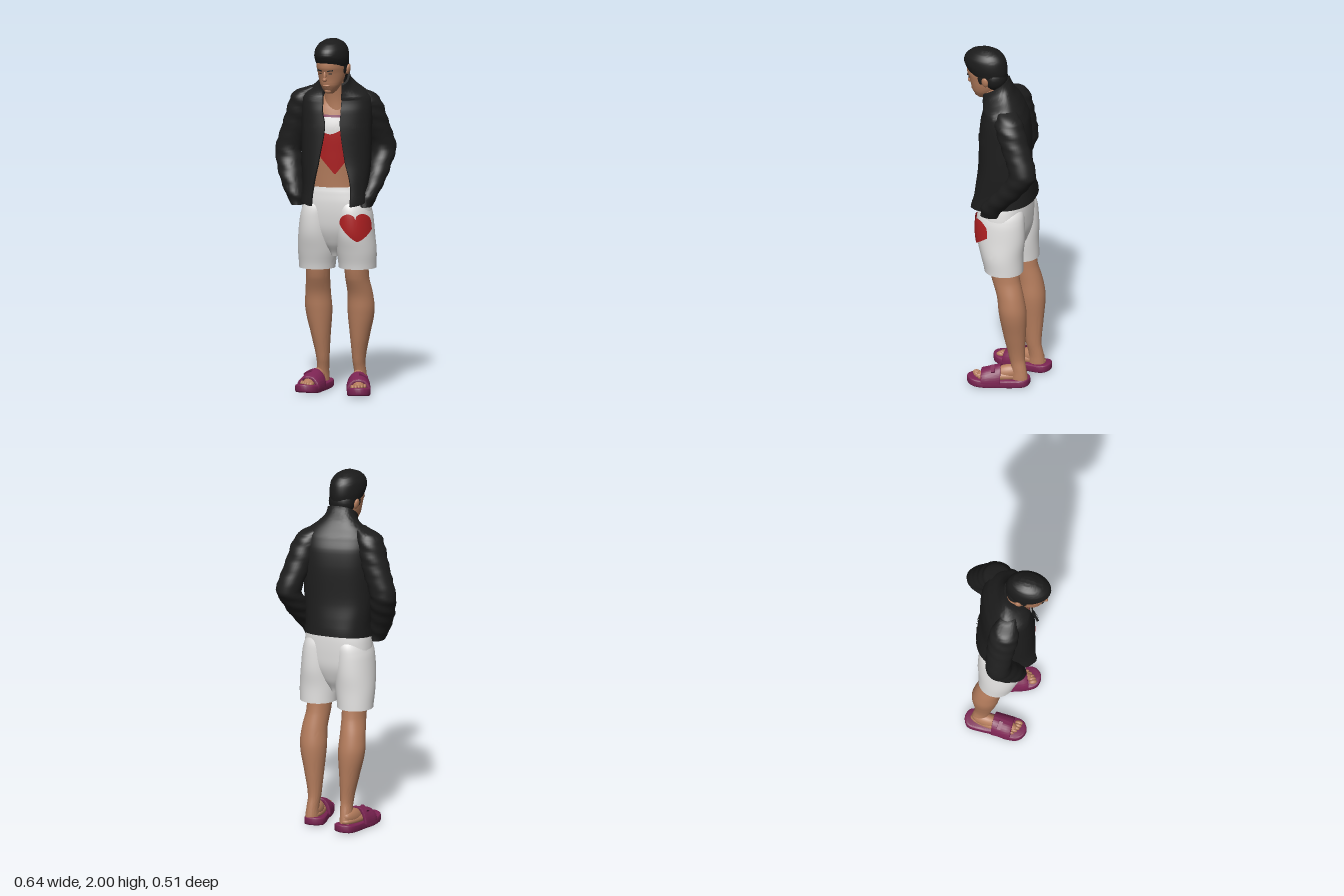
import * as THREE from 'three';
import { toCreasedNormals } from 'three/addons/utils/BufferGeometryUtils.js';

const mat = (name, color) => Object.assign(new THREE.MeshStandardMaterial({ color }), { name });

// Cross-section row: [y, x, z, halfWidth, halfDepth, turn, forwardDrop, gapLeft, gapRight, roundness], bottom to top.
function blend(rows, i, f) {
  const row = k => rows[Math.min(Math.max(k, 0), rows.length - 1)];
  const [a, b, c, d] = [row(i - 1), row(i), row(i + 1), row(i + 2)];
  return b.map((p, k) => {
    if (k === 0) return p + (c[0] - p) * f;
    const v = p + 0.5 * f * (c[k] - a[k] + f * (2 * a[k] - 5 * p + 4 * c[k] - d[k] + f * (3 * (p - c[k]) + d[k] - a[k])));
    return k === 3 || k === 4 ? Math.max(v, 0.004) : v;
  });
}

// Fill rows up to the roundness column; below 1 the section becomes boxier.
const boxy = (rows, round) => rows.map(r => [...r, ...Array(9 - r.length).fill(0), round]);

function atHeight(rows, y) {
  let i = 0;
  while (i < rows.length - 2 && y > rows[i + 1][0]) i++;
  return blend(rows, i, (y - rows[i][0]) / (rows[i + 1][0] - rows[i][0]));
}

// Point on a section; angle 0 is the front and grows towards +x.
function pointOn([y, x, z, rx, rz, turn = 0, drop = 0, , , round = 1], a, off = 0) {
  const bend = v => Math.sign(v) * Math.abs(v) ** round;
  const u = (rx + off) * bend(Math.sin(a)), w = (rz + off) * bend(Math.cos(a));
  const c = Math.cos(turn), s = Math.sin(turn);
  return [x + u * c + w * s, y - drop * w, z - u * s + w * c];
}

function build(pos, idx) {
  const g = new THREE.BufferGeometry();
  g.setAttribute('position', new THREE.Float32BufferAttribute(pos, 3));
  g.setIndex(idx);
  return toCreasedNormals(g, 0.9);
}

// Skin over stacked sections; "open" makes a thick shell with a gap in front.
function loft(rows, { open = false, folds = 0, n = 40 } = {}) {
  const rings = [];
  for (let i = 0; i < rows.length - 1; i++)
    for (let k = 0; k < 5; k++) rings.push(blend(rows, i, k / 5));
  rings.push(rows[rows.length - 1]);
  const pos = [], idx = [], m = open ? 2 * n : n;
  for (const r of rings)
    for (let j = 0; j < m; j++) {
      if (open) {
        const k = j < n ? j : 2 * n - 1 - j;
        const a = r[7] + (2 * Math.PI - r[8] - r[7]) * k / (n - 1);
        pos.push(...pointOn(r, a, j < n ? 0 : -0.012));
      } else {
        const a = 2 * Math.PI * j / n;
        pos.push(...pointOn(r, a, folds * Math.sin(r[0] * 85 + 2 * a)));
      }
    }
  for (let i = 0; i < rings.length - 1; i++)
    for (let j = 0; j < m; j++) {
      const a = i * m + j, b = i * m + (j + 1) % m;
      idx.push(a, b, b + m, a, b + m, a + m);
    }
  const top = (rings.length - 1) * m;
  if (open) {
    for (let j = 0; j < n - 1; j++) {
      const p = j, q = j + 1, s = 2 * n - 1 - j, t = s - 1;
      idx.push(p, t, q, p, s, t, top + p, top + q, top + t, top + p, top + t, top + s);
    }
  } else {
    const lo = pos.length / 3, hi = lo + 1;
    for (const r of [rings[0], rings[rings.length - 1]]) pos.push(r[1], r[0], r[2]);
    for (let j = 0; j < m; j++) {
      const k = (j + 1) % m;
      idx.push(lo, k, j, hi, top + j, top + k);
    }
  }
  return build(pos, idx);
}

// Thin panel lying on a lofted surface; u runs -1..1 across it.
function panel(rows, a0, a1, bottom, top, off = 0.006, n = 40, m = 10) {
  const pos = [], idx = [];
  for (let i = 0; i <= m; i++)
    for (let j = 0; j <= n; j++) {
      const u = -1 + 2 * j / n, lo = bottom(u), y = lo + (top(u) - lo) * i / m;
      pos.push(...pointOn(atHeight(rows, y), a0 + (a1 - a0) * j / n, off));
      if (i < m && j < n) {
        const a = i * (n + 1) + j, b = a + 1, c = b + n + 1;
        idx.push(a, b, c, a, c, c - 1);
      }
    }
  return build(pos, idx);
}

export function createModel() {
  const model = new THREE.Group();
  const skin = mat('skin', 0xb57d5d), hair = mat('hair', 0x1b1b1b), black = mat('jacketBlack', 0x1e1e1e);
  const white = mat('whiteCloth', 0xe2e1e0), red = mat('red', 0xb02022), plum = mat('plum', 0x7c2453);
  for (const m of [black, white, red, plum]) m.side = THREE.DoubleSide;
  const add = (name, geo, m, parent = model) => {
    const mesh = new THREE.Mesh(geo, m);
    mesh.name = name;
    parent.add(mesh);
    return mesh;
  };
  const ball = (name, m, parent, p, s) => {
    const b = add(name, new THREE.SphereGeometry(1, 20, 14), m, parent);
    b.position.set(...p);
    b.scale.set(...s);
    return b;
  };

  // Torso, neck and top
  const T = 0.32;
  const torso = [
    [1.08, .035, 0, .155, .115, .2], [1.2, .035, .003, .155, .115, T], [1.35, .035, .008, .163, .122, T],
    [1.5, .036, .012, .165, .126, T], [1.6, .04, .02, .135, .095, T], [1.67, .045, .04, .07, .055, T]];
  add('torso', loft(torso), skin);
  add('neck', loft([[1.55, .045, .045, .08, .07], [1.66, .045, .058, .06, .06], [1.8, .045, .095, .05, .052]]), skin);
  const heartTop = u => 1.478 + 0.012 * Math.sin(u * 7);
  add('topUpper', panel(torso, -1, 1, heartTop, () => 1.562), white);
  add('topHeart', panel(torso, -1, 1, u => 1.237 + 0.2 * Math.min(Math.abs(u + 0.08), 0.9), heartTop), red);
  add('topTrim', panel(torso, -1, 1, () => 1.56, () => 1.573, 0.008), plum);

  // Jacket body with open front
  const jacket = boxy([
    [1.09, .035, .02, .185, .18, .14, .15, .52, .58], [1.17, .035, .014, .184, .168, .21, .08, .46, .6],
    [1.3, .036, .012, .192, .15, T, 0, .17, .48], [1.5, .038, .01, .195, .145, T, 0, .04, .28],
    [1.6, .04, .012, .195, .133, T, .04, .05, .35], [1.66, .042, .02, .188, .113, T, .1, .07, .35],
    [1.69, .044, .033, .165, .1, .28, .25, .1, .38], [1.715, .045, .045, .125, .088, .24, .42, .2, .5],
    [1.745, .045, .056, .09, .08, .2, .6, .42, .82], [1.78, .045, .064, .081, .073, .15, .65, .57, 1]], .78);
  add('jacketBody', loft(jacket, { open: true, n: 64 }), black);
  add('waistband', panel(jacket, .56, 2 * Math.PI - .66, () => 1.095, () => 1.14, .005, 64), black);
  for (const [a0, a1] of [[.3, .95], [-1.1, -.5]])
    add('chestPocketFlap', panel(jacket, a0, a1, u => 1.475 + .012 * Math.abs(u), () => 1.525), black);

  // Sleeves, with the hands tucked into the pockets
  add('rightSleeve', loft([
    [1.06, -.162, .095, .035, .045], [1.12, -.178, .09, .054, .058], [1.22, -.213, .057, .066, .067],
    [1.3, -.235, .02, .072, .068], [1.36, -.242, .004, .075, .068], [1.5, -.196, .01, .078, .076],
    [1.6, -.165, .02, .076, .082], [1.66, -.15, .025, .069, .076], [1.69, -.125, .027, .06, .062],
    [1.715, -.085, .032, .035, .04]], { folds: 0.003 }), black);
  add('leftSleeve', loft([
    [1.055, .215, .035, .034, .05], [1.12, .224, .006, .05, .068], [1.2, .237, -.065, .06, .075],
    [1.28, .243, -.13, .067, .076], [1.36, .25, -.177, .07, .076], [1.5, .22, -.125, .075, .08],
    [1.6, .2, -.085, .076, .083], [1.65, .188, -.066, .069, .075], [1.68, .166, -.05, .058, .06],
    [1.71, .13, -.025, .034, .04]], { folds: 0.003 }), black);

  // Shorts
  add('shortsHips', loft(boxy([
    [.77, .03, -.014, .03, .05], [.84, .03, -.01, .1, .09], [.92, .032, -.006, .178, .12], [1.0, .035, -.002, .195, .131],
    [1.08, .034, 0, .188, .134], [1.14, .033, 0, .172, .13], [1.165, .034, 0, .164, .126]], .84), { n: 56 }), white);
  const leftShort = [
    [.705, .147, -.024, .104, .108], [.8, .145, -.012, .11, .12], [.9, .14, -.003, .106, .138],
    [1.0, .136, 0, .1, .138], [1.06, .128, 0, .09, .128], [1.13, .112, 0, .062, .095]];
  add('leftShortsLeg', loft(leftShort), white);
  add('rightShortsLeg', loft([
    [.695, -.088, -.03, .1, .102], [.8, -.081, -.016, .109, .116], [.9, -.077, -.005, .105, .132],
    [1.0, -.071, 0, .097, .134], [1.06, -.061, 0, .086, .126], [1.13, -.044, 0, .057, .093]]), white);
  add('shortsHeart', panel(leftShort, -.43, 1.32,
    u => .867 + (u < 0 ? .1 : .065) * Math.abs(u) ** 1.3,
    u => .972 + .04 * Math.sqrt(Math.max(0, 1 - (2 * Math.abs(u) - 1) ** 2)) + .018 * (1 - Math.abs(u)), 0.009), red);

  // Legs
  const leg = [
    [.05, 0, -.125, .036, .048], [.1, .002, -.122, .033, .043], [.17, .006, -.108, .035, .045], [.3, -.002, -.098, .052, .062],
    [.45, -.012, -.09, .074, .077], [.55, -.012, -.076, .07, .075], [.65, -.003, -.045, .065, .08], [.85, 0, -.02, .07, .085]];
  const legAt = (side, x, z) => leg.map(r => [r[0], x + side * r[1], r[2] + z, r[3], r[4]]);
  add('rightLeg', loft(legAt(1, -.086, 0)), skin);
  add('leftLeg', loft(legAt(-1, .138, .012)), skin);

  // Feet in slide sandals
  const outline = new THREE.Shape();
  outline.setFromPoints(new THREE.CatmullRomCurve3([
    [0, -.165], [.042, -.145], [.047, -.08], [.045, 0], [.055, .08], [.045, .14], [0, .165],
    [-.045, .14], [-.055, .08], [-.045, 0], [-.047, -.08], [-.042, -.145]]
    .map(([x, y]) => new THREE.Vector3(x, y, 0)), true).getPoints(48).slice(0, -1));
  let sole = new THREE.ExtrudeGeometry(outline, { depth: .028, bevelSize: .01, bevelThickness: .008, bevelSegments: 3 });
  sole.rotateX(Math.PI / 2).translate(0, .036, 0);
  const sp = sole.attributes.position;
  for (let i = 0; i < sp.count; i++) sp.setY(i, sp.getY(i) + sp.getZ(i) ** 2 * (sp.getZ(i) > 0 ? .5 : .4));
  sole = toCreasedNormals(sole, 0.8);

  const arch = new THREE.Shape();
  arch.absellipse(0, 0, .062, .088, 0, Math.PI, false);
  arch.lineTo(-.05, 0);
  arch.absellipse(0, 0, .05, .076, Math.PI, 0, true);
  let strap = new THREE.ExtrudeGeometry(arch, { depth: .1, steps: 4, curveSegments: 24, bevelSize: .004, bevelThickness: .004, bevelSegments: 2 });
  const tp = strap.attributes.position;
  for (let i = 0; i < tp.count; i++) tp.setY(i, tp.getY(i) * (1 - 3.2 * tp.getZ(i)));
  strap.translate(0, .033, -.008);
  strap = toCreasedNormals(strap, 0.8);

  for (const [side, x, z, turn] of [[-1, -.105, -.033, -.1], [1, .16, .002, .32]]) {
    const foot = new THREE.Group();
    foot.name = side < 0 ? 'rightFoot' : 'leftFoot';
    foot.position.set(x, 0, z);
    foot.rotation.y = turn;
    model.add(foot);
    add('sandalSole', sole, plum, foot);
    add('sandalStrap', strap, plum, foot);
    const buckle = add('strapBuckle', new THREE.BoxGeometry(.05, .014, .022), plum, foot);
    buckle.position.set(side * .026, .106, .03);
    buckle.rotation.set(.25, 0, -side * .5);
    ball('footBody', skin, foot, [0, .06, -.01], [.043, .032, .135]);
    ball('instep', skin, foot, [0, .075, -.05], [.037, .048, .085]).rotation.x = .2;
    for (let i = 0; i < 5; i++)
      ball('toe', skin, foot, [side * (-.034 + i * .017), .056, .124 - i * i * .002], [.013 - i * .001, .014, .022]);
  }

  // Head, facing slightly to its right
  const head = new THREE.Group();
  head.name = 'head';
  head.position.set(.045, 0, .122);
  head.rotation.y = -.1;
  model.add(head);
  add('face', loft([
    [1.698, 0, .028, .02, .022], [1.712, 0, .024, .036, .041], [1.745, 0, .014, .056, .07], [1.78, 0, .004, .068, .087],
    [1.82, 0, 0, .075, .102], [1.85, 0, 0, .079, .114], [1.9, 0, 0, .078, .108], [1.95, 0, 0, .05, .07]]), skin, head);
  add('hair', loft([
    [1.846, 0, -.003, .08, .115, 0, -.2], [1.864, 0, .001, .085, .121, 0, -.2], [1.9, 0, .004, .09, .128, 0, -.12],
    [1.945, 0, .004, .084, .117, 0, -.03], [1.976, 0, .002, .064, .088, 0, 0], [1.994, 0, 0, .034, .046, 0, 0],
    [2, 0, 0, .006, .008, 0, 0]]), hair, head);
  ball('napeHair', hair, head, [0, 1.835, -.056], [.077, .075, .067]);
  ball('nose', skin, head, [0, 1.782, .1], [.012, .014, .016]);
  ball('noseBridge', skin, head, [0, 1.805, .1], [.008, .028, .012]).rotation.x = -.2;
  ball('lips', skin, head, [0, 1.745, .078], [.022, .008, .012]);
  ball('chin', skin, head, [0, 1.714, .052], [.022, .016, .018]);
  for (const s of [-1, 1]) {
    const brow = add('eyebrow', new THREE.BoxGeometry(.034, .006, .008), hair, head);
    brow.position.set(s * .03, 1.832, .098);
    brow.rotation.set(0, s * .35, s * .12);
    const eye = add('eye', new THREE.BoxGeometry(.018, .004, .006), hair, head);
    eye.position.set(s * .029, 1.815, .093);
    eye.rotation.y = s * .4;
    ball('ear', skin, head, [s * .083, 1.828, -.034], [.011, .03, .02]).rotation.z = -s * .2;
    ball('sideburn', hair, head, [s * .073, 1.842, -.006], [.01, .036, .022]);
  }
  return model;
}
